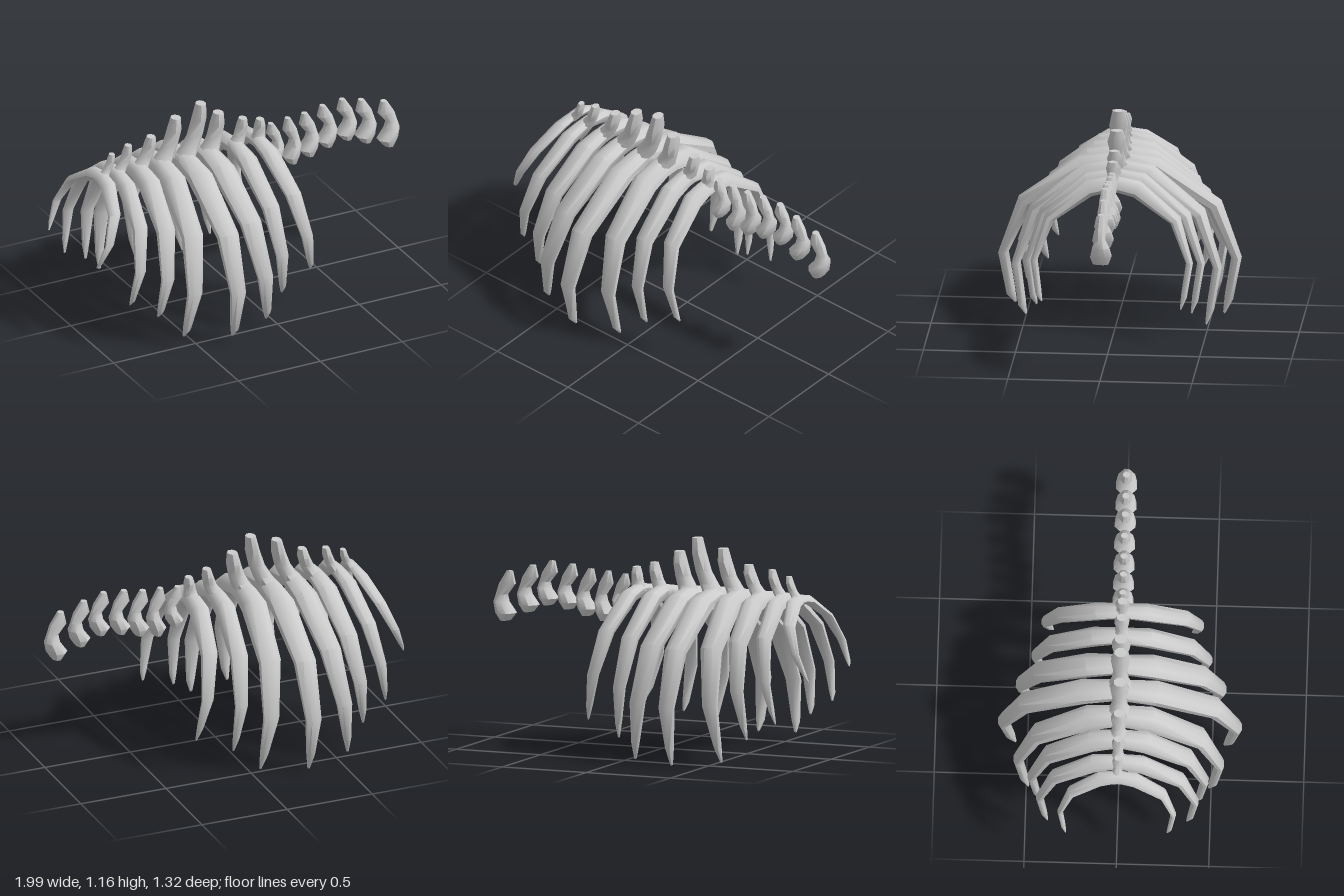
import * as THREE from 'three';
import { toCreasedNormals } from 'three/addons/utils/BufferGeometryUtils.js';

const SIDES = 8;
const bone = new THREE.MeshStandardMaterial({ color: 0xcccccc });

// Octagonal section around centre c with half axes u and v
function ring(c, u, v) {
  const points = [];
  const k = 1 / Math.cos(Math.PI / SIDES);
  for (let j = 0; j < SIDES; j++) {
    const a = ((j + 0.5) / SIDES) * Math.PI * 2;
    points.push(c.clone().addScaledVector(u, Math.cos(a) * k).addScaledVector(v, Math.sin(a) * k));
  }
  return points;
}

// Skin a closed solid over a row of sections
function loft(rings, name) {
  const positions = rings.flat().flatMap((p) => [p.x, p.y, p.z]);
  const index = [];
  const last = (rings.length - 1) * SIDES;
  for (let i = 0; i < rings.length - 1; i++) {
    for (let j = 0; j < SIDES; j++) {
      const a = i * SIDES + j;
      const b = i * SIDES + ((j + 1) % SIDES);
      index.push(a, b, b + SIDES, a, b + SIDES, a + SIDES);
    }
  }
  for (let j = 1; j < SIDES - 1; j++) {
    index.push(0, j + 1, j, last, last + j, last + j + 1);
  }
  const geometry = new THREE.BufferGeometry();
  geometry.setAttribute('position', new THREE.Float32BufferAttribute(positions, 3));
  geometry.setIndex(index);
  const mesh = new THREE.Mesh(toCreasedNormals(geometry, 0.85), bone);
  mesh.name = name;
  return mesh;
}

// Upright bone: sections of [x, y, half depth z, half width x]
function uprightBone(sections, name) {
  return loft(sections.map(([x, y, hz, hx]) => ring(
    new THREE.Vector3(x, y, 0), new THREE.Vector3(0, 0, hz), new THREE.Vector3(hx, 0, 0))), name);
}

// Half arch of the largest rib: outer z, outer y, inner z, inner y, half width
const ARCH = [
  [0, 0.90, 0, 0.80, 0.055],
  [0.05, 0.90, 0.05, 0.80, 0.057],
  [0.22, 0.875, 0.17, 0.775, 0.065],
  [0.55, 0.64, 0.475, 0.60, 0.058],
  [0.66, 0.325, 0.605, 0.33, 0.043],
  [0.615, 0.09, 0.57, 0.12, 0.022],
  [0.57, 0.04, 0.56, 0.05, 0.007],
];
const ROOT_Y = 0.88;

// Rib pair: top x, tip x, tip y, half span, width scale
function ribArch([x0, tipX, tipY, span, w]) {
  const sz = span / 0.66;
  const sy = (ROOT_Y - tipY) / 0.87;
  const section = (row, side) => {
    const [oz, oy, iz, iy, hx] = row;
    const drop = row === ARCH[ARCH.length - 1] && side < 0 ? 0.035 : 0; // one side hangs a little lower
    const place = (z, y) => {
      const h = (ROOT_Y - y + drop) / 0.87;
      return new THREE.Vector3(x0 + (tipX - x0) * h, ROOT_Y - h * 0.87 * sy, side * z * sz);
    };
    const outer = place(oz, oy);
    const inner = place(iz, iy);
    const centre = outer.clone().add(inner).multiplyScalar(0.5);
    return ring(centre, new THREE.Vector3(hx * w, 0, 0), outer.sub(centre));
  };
  const farSide = ARCH.slice(1).reverse().map((row) => section(row, -1));
  return loft([...farSide, ...ARCH.map((row) => section(row, 1))], 'ribArch');
}

// Spine on top of a rib: height fraction, lean fraction, half depth, half width
const SPINE = [
  [0, 0, 0.075, 0.052],
  [0.2, 0.33, 0.045, 0.048],
  [0.42, 0.65, 0.036, 0.042],
  [0.73, 0.9, 0.05, 0.035],
  [1, 1, 0.032, 0.026],
];

// Tail bone: height fraction, x offset, half depth, half width
const TAIL = [
  [0, 0.055, 0.042, 0.022],
  [0.15, 0.052, 0.057, 0.046],
  [0.37, 0.075, 0.045, 0.034],
  [0.52, 0.073, 0.025, 0.027],
  [0.74, 0.045, 0.03, 0.038],
  [1, 0.033, 0.018, 0.014],
];

export function createModel() {
  const model = new THREE.Group();
  model.name = 'ribCageSkeleton';

  // Rib pairs: top x, tip x, tip y, half span, width scale, spine top x, spine top y
  const ribs = [
    [-0.81, -0.99, 0.46, 0.32, 0.55, -0.75, 0.99],
    [-0.72, -0.84, 0.24, 0.44, 0.68, -0.65, 1.02],
    [-0.59, -0.69, 0.15, 0.49, 0.85, -0.51, 1.04],
    [-0.455, -0.57, 0.03, 0.57, 0.98, -0.36, 1.12],
    [-0.31, -0.31, 0.01, 0.66, 1, -0.207, 1.17],
    [-0.165, -0.06, 0.02, 0.57, 1, -0.10, 1.09],
    [0, 0.07, 0.12, 0.49, 0.8, 0.05, 1.02],
    [0.14, 0.27, 0.20, 0.44, 0.75, 0.155, 0.99],
  ];
  for (const rib of ribs) {
    const [x0, , , , w, spineX, spineY] = rib;
    const pair = new THREE.Group();
    pair.name = 'ribPair';
    const base = 0.86;
    pair.add(ribArch(rib), uprightBone(SPINE.map(([f, lean, hz, hx]) => [
      x0 + (spineX - x0) * lean, base + (spineY - base) * f, hz * w, hx * w]), 'ribSpine'));
    model.add(pair);
  }

  // Tail bones: left edge x, width, bottom y, top y
  const tail = [
    [0.19, 0.105, 0.72, 0.945],
    [0.29, 0.11, 0.685, 0.955],
    [0.39, 0.12, 0.705, 0.96],
    [0.50, 0.12, 0.735, 0.98],
    [0.62, 0.12, 0.75, 0.99],
    [0.735, 0.125, 0.705, 0.96],
    [0.87, 0.13, 0.65, 0.92],
  ];
  for (const [x, width, bottom, top] of tail) {
    const s = width / 0.11;
    model.add(uprightBone(TAIL.map(([f, dx, hz, hx]) => [
      x + dx * s, bottom + (top - bottom) * f, hz, hx * s]), 'tailVertebra'));
  }
  return model;
}
